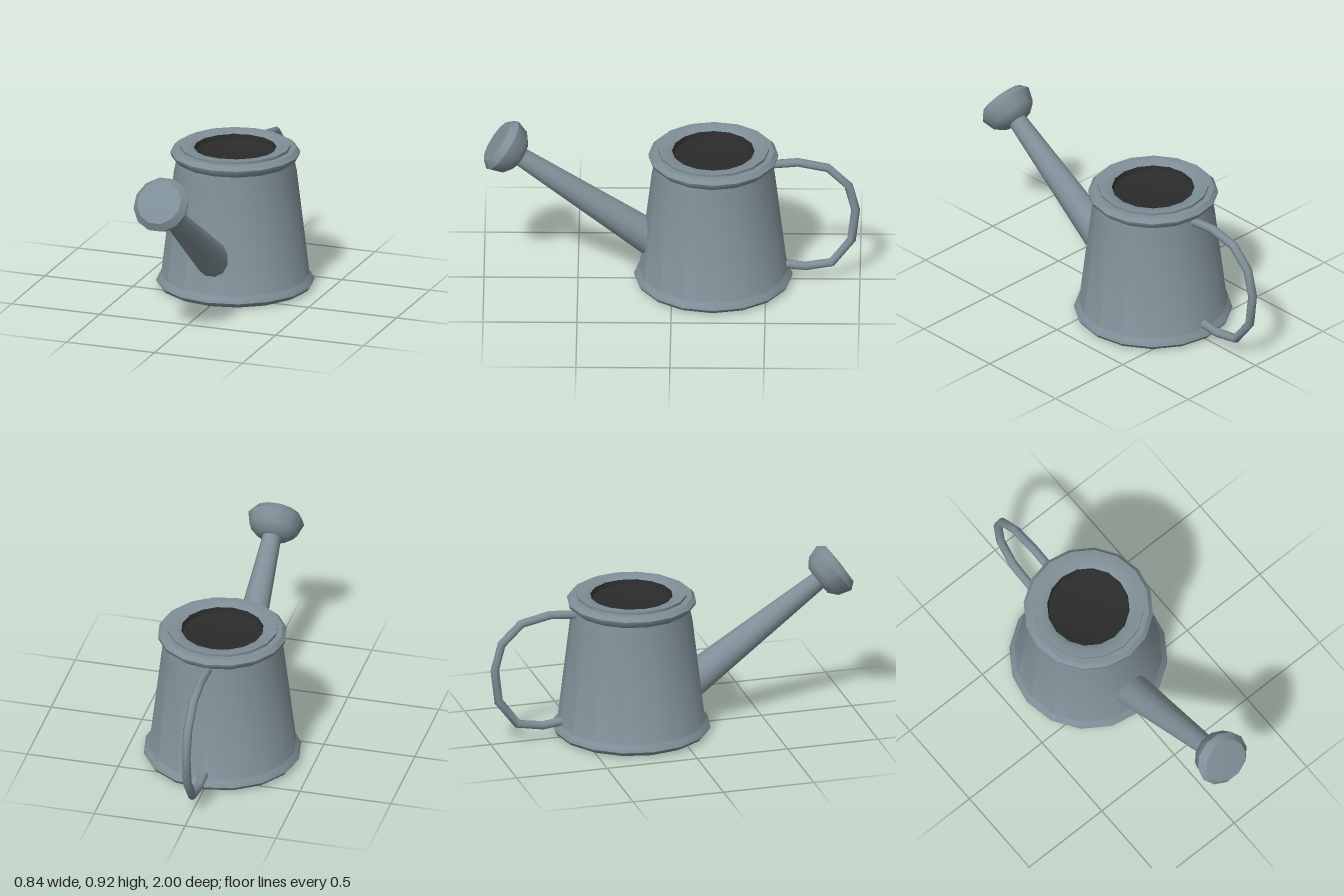
import * as THREE from 'three';
import { toCreasedNormals } from 'three/addons/utils/BufferGeometryUtils.js';

const metal = new THREE.MeshStandardMaterial({ color: 0x7f8f97 });
metal.name = 'blue grey metal';
const dark = new THREE.MeshStandardMaterial({ color: 0x2b2b2b });
dark.name = 'dark interior';

const BODY_Z = -0.22;

// Turned part from [radius, height] pairs
function lathe(name, profile, sides, material, phase = 0) {
  const points = profile.map(([r, y]) => new THREE.Vector2(r, y));
  const geometry = toCreasedNormals(new THREE.LatheGeometry(points, sides, phase), 0.75);
  const mesh = new THREE.Mesh(geometry, material);
  mesh.name = name;
  return mesh;
}

// Tube with one ring at each given [z, y] point
function bentTube(name, path, radius, sides) {
  const curve = new THREE.CatmullRomCurve3(path.map(([z, y]) => new THREE.Vector3(0, y, z)));
  curve.getPointAt = (t, target) => curve.getPoint(t, target);
  curve.getTangentAt = (t, target) => curve.getTangent(t, target);
  const mesh = new THREE.Mesh(new THREE.TubeGeometry(curve, path.length - 1, radius, sides), metal);
  mesh.name = name;
  return mesh;
}

export function createModel() {
  const model = new THREE.Group();
  model.name = 'wateringCan';

  // Tapered can with a rolled foot and a rolled, stepped rim
  const body = lathe('body', [
    [0, 0], [0.385, 0], [0.41, 0.012], [0.422, 0.03], [0.415, 0.048], [0.395, 0.066],
    [0.327, 0.64], [0.314, 0.705], [0.342, 0.73], [0.346, 0.748], [0.325, 0.77],
    [0.295, 0.771], [0.295, 0.786], [0.25, 0.786], [0.22, 0.772],
  ], 16, metal);
  body.position.z = BODY_Z;

  // Shallow dark well inside the mouth
  const opening = lathe('opening', [[0.222, 0.773], [0.212, 0.745], [0.17, 0.733], [0, 0.728]].reverse(), 24, dark);
  opening.material.side = THREE.DoubleSide;
  opening.position.z = BODY_Z;

  // Spout and sprinkler head share one tilted axis
  const spoutGroup = new THREE.Group();
  spoutGroup.name = 'spoutAssembly';
  spoutGroup.position.set(0, 0.735, 0.81);
  spoutGroup.rotation.x = Math.atan2(0.818, 0.576);
  const halfStep = Math.PI / 12;
  const spout = lathe('spout', [[0, -0.9], [0.097, -0.9], [0.049, 0.03]], 12, metal, halfStep);
  const head = lathe('sprinklerHead', [
    [0, 0], [0.085, 0.004], [0.13, 0.042], [0.153, 0.112], [0.122, 0.15], [0, 0.154],
  ], 12, metal, halfStep);
  spoutGroup.add(spout, head);

  // Looped back handle
  const handle = bentTube('handle', [
    [-0.5, 0.69], [-0.67, 0.705], [-0.83, 0.672], [-0.94, 0.565], [-0.977, 0.42],
    [-0.955, 0.24], [-0.85, 0.102], [-0.71, 0.078], [-0.57, 0.095],
  ], 0.024, 8);

  model.add(body, opening, spoutGroup, handle);
  return model;
}
